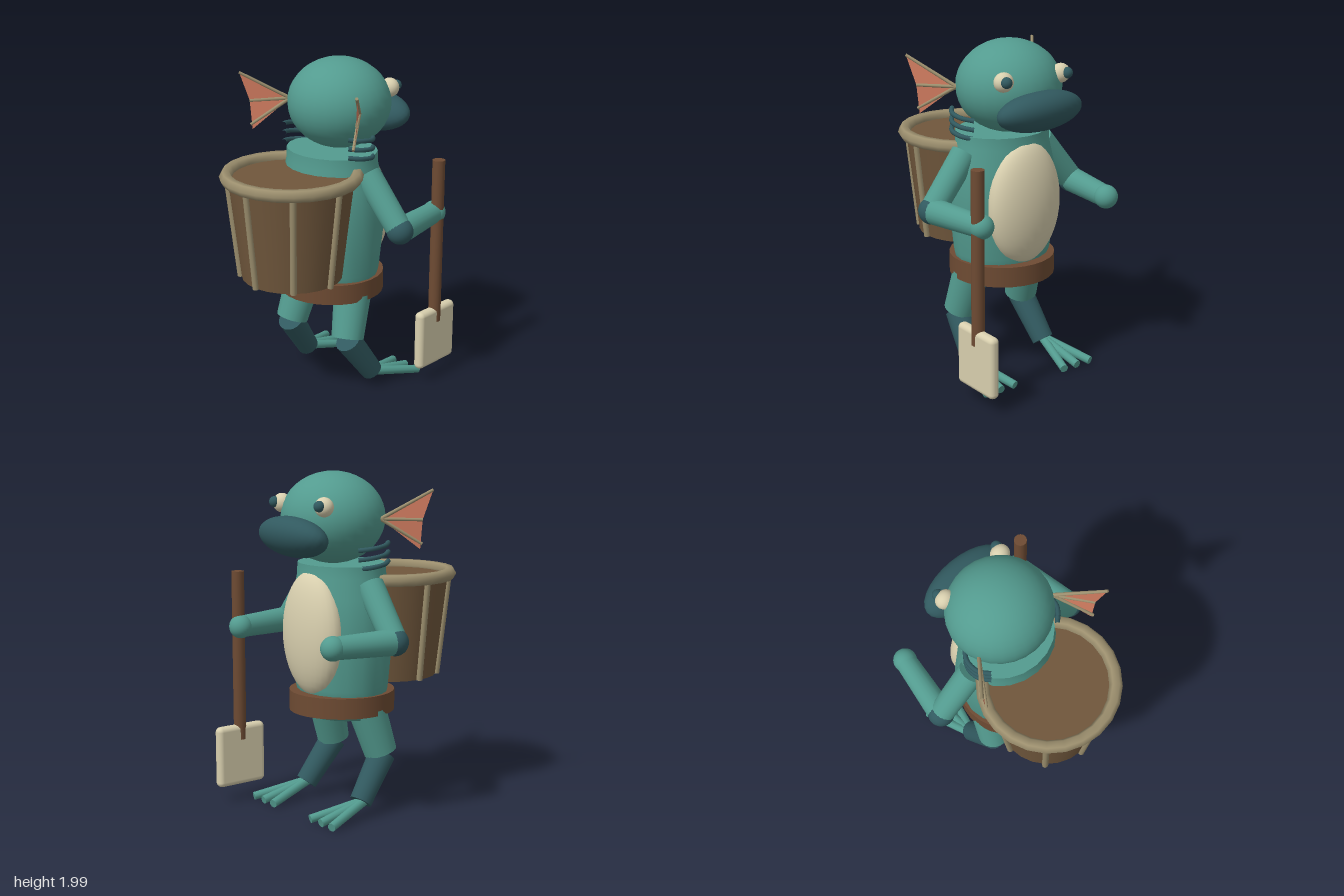
import * as THREE from 'three';
import { RoundedBoxGeometry } from 'three/addons/geometries/RoundedBoxGeometry.js';

const material = (name, color, extra = {}) => {
  const m = new THREE.MeshStandardMaterial({ color, ...extra });
  m.name = name;
  return m;
};
const V = (x, y, z) => new THREE.Vector3(x, y, z);

export function createModel() {
  const teal = material('teal skin', 0x539b8f);
  const dark = material('dark teal', 0x31595f);
  const cream = material('cream', 0xd8cfae);
  const brown = material('basket brown', 0x70573c);
  const leather = material('leather brown', 0x6e4b33);
  const cane = material('cane', 0x9c8f6e);
  const coral = material('coral fin', 0xd67f62, { side: THREE.DoubleSide });

  const model = new THREE.Group();
  model.name = 'fishCreature';

  const add = (name, geometry, mat, x = 0, y = 0, z = 0) => {
    const mesh = new THREE.Mesh(geometry, mat);
    mesh.name = name;
    mesh.position.set(x, y, z);
    model.add(mesh);
    return mesh;
  };
  const ball = (name, mat, p, rx, ry = rx, rz = rx) => {
    const mesh = add(name, new THREE.SphereGeometry(1, 28, 20), mat, ...p);
    mesh.scale.set(rx, ry, rz);
    return mesh;
  };
  // Tapered cylinder from a to b
  const rod = (name, mat, a, b, ra, rb = ra, sides = 16) => {
    const dir = b.clone().sub(a);
    const mesh = add(name, new THREE.CylinderGeometry(rb, ra, dir.length(), sides), mat);
    mesh.position.copy(a).add(b).multiplyScalar(0.5);
    mesh.quaternion.setFromUnitVectors(V(0, 1, 0), dir.normalize());
    return mesh;
  };

  // Torso, belly and belt
  const profile = [[0, 0.575], [0.26, 0.575], [0.3, 0.75], [0.335, 1.08], [0.315, 1.28], [0.288, 1.4], [0.285, 1.47]]
    .map(([r, y]) => new THREE.Vector2(r, y));
  add('torso', new THREE.LatheGeometry(profile, 20), teal, 0.09).scale.x = 0.85;
  add('shoulderTop', new THREE.CylinderGeometry(0.285, 0.285, 0.02, 20), teal, 0.09, 1.46, 0).scale.x = 0.85;
  ball('belly', cream, [0.3, 1.07, 0], 0.125, 0.365, 0.245);
  add('belt', new THREE.CylinderGeometry(0.311, 0.311, 0.12, 28), leather, 0.09, 0.66, 0);

  // Head and mouth
  ball('head', teal, [0.152, 1.735, 0], 0.3, 0.265, 0.307);
  ball('mouth', dark, [0.437, 1.638, 0], 0.138, 0.11, 0.283).rotation.z = 0.6;

  // Basket
  const bx = -0.255;
  add('basket', new THREE.CylinderGeometry(0.365, 0.295, 0.6, 24), brown, bx, 1.07, 0);
  const rim = add('basketRim', new THREE.TorusGeometry(0.376, 0.038, 6, 24), cane, bx, 1.38, 0);
  rim.rotation.x = Math.PI / 2;
  for (let i = 0; i < 8; i++) {
    const c = Math.cos(i * Math.PI / 4), s = Math.sin(i * Math.PI / 4);
    rod('basketStave', cane, V(bx + 0.3 * c, 0.77, 0.3 * s), V(bx + 0.368 * c, 1.37, 0.368 * s), 0.019, 0.019, 8);
  }

  // Mirrored parts
  for (const s of [1, -1]) {
    const P = (x, y, z) => V(x, y, s * z);

    ball('eye', cream, P(0.368, 1.815, 0.2), 0.052, 0.056, 0.058);
    ball('pupil', dark, P(0.412, 1.822, 0.213), 0.032);

    // Ear fin: membrane with three ribs
    const root = P(0.02, 1.735, 0.27);
    const tips = [P(-0.215, 1.9, 0.453), P(-0.17, 1.73, 0.415), P(-0.18, 1.59, 0.4)];
    const edge = P(-0.17, 1.56, 0.395);
    const fin = new THREE.BufferGeometry().setFromPoints([root, tips[0], tips[1], root, tips[1], edge]);
    fin.computeVertexNormals();
    add('earFin', fin, coral);
    for (const tip of tips) rod('finRib', cane, root, tip, 0.011, 0.009, 8);

    // Gills
    for (let i = 0; i < 3; i++) {
      const y = 1.595 - i * 0.053;
      const curve = new THREE.CatmullRomCurve3([
        P(-0.055, y, 0.25), P(0, y - 0.01, 0.29), P(0.055, y - 0.018, 0.3),
        P(0.11, y - 0.025, 0.29), P(0.165, y - 0.033, 0.25)]);
      add('gill', new THREE.TubeGeometry(curve, 14, 0.014, 8), dark);
    }

    // Arm
    const elbow = P(0.11, 1.07, 0.508), hand = P(0.5, 1.07, 0.448);
    rod('upperArm', teal, P(0.095, 1.36, 0.27), elbow, 0.08, 0.074, 20);
    ball('elbow', dark, elbow, 0.079);
    rod('forearm', teal, elbow, hand, 0.076, 0.064, 20);
    ball('hand', teal, hand, 0.07);

    // Leg and three-toed foot
    rod('thigh', teal, P(0.075, 0.68, 0.19), P(-0.02, 0.36, 0.228), 0.115, 0.097, 18);
    rod('shin', dark, P(-0.025, 0.345, 0.235), P(0.16, 0.095, 0.265), 0.08, 0.066, 18);
    for (const z of [0.185, 0.285, 0.385]) {
      rod('toe', teal, P(0.14, 0.1, 0.275), P(0.465, 0.032, z), 0.028, 0.025, 10);
    }
  }

  // Shovel in the hand on the +z side
  rod('shovelShaft', leather, V(0.5, 0.38, 0.474), V(0.5, 1.4, 0.474), 0.038);
  add('shovelBlade', new RoundedBoxGeometry(0.33, 0.37, 0.066, 3, 0.03), cream, 0.502, 0.285, 0.474);

  return model;
}
